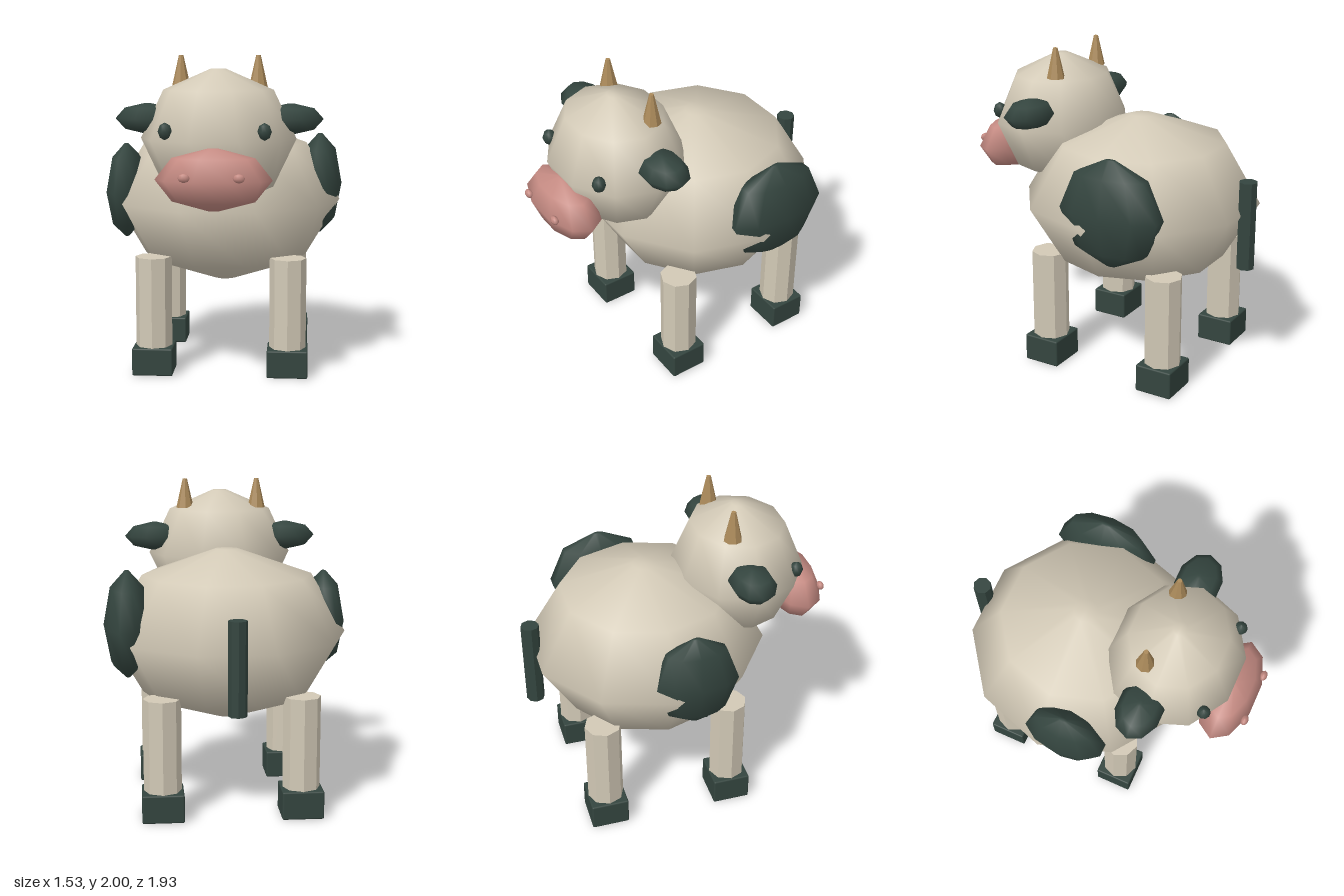
import * as THREE from 'three';
import { RoundedBoxGeometry } from 'three/addons/geometries/RoundedBoxGeometry.js';

export function createModel() {
  const model = new THREE.Group();
  const cream = new THREE.MeshStandardMaterial({ color: 0xd2c9b6 });
  const darkGreen = new THREE.MeshStandardMaterial({ color: 0x34453f });
  const pink = new THREE.MeshStandardMaterial({ color: 0xc48a82 });
  const horn = new THREE.MeshStandardMaterial({ color: 0xab8a5a });
  cream.name = 'cream';
  darkGreen.name = 'darkGreen';
  pink.name = 'pink';
  horn.name = 'horn';

  const add = (name, geometry, material, x, y, z) => {
    const mesh = new THREE.Mesh(geometry, material);
    mesh.name = name;
    mesh.position.set(x, y, z);
    model.add(mesh);
    return mesh;
  };

  // Ten-sided smooth ball with a small flat cap at each pole
  const profile = [[0, -1], [0.1, -1], [0.707, -0.7], [1, 0], [0.707, 0.7], [0.1, 1], [0, 1]]
    .map(([r, y]) => new THREE.Vector2(r, y));
  const blob = (name, material, [x, y, z], [rx, ry, rz]) => {
    const g = new THREE.LatheGeometry(profile, 10, Math.PI / 2);
    g.scale(rx, ry, rz);
    return add(name, g, material, x, y, z);
  };
  // Faceted post
  const post = (name, material, top, bottom, y0, y1, x, z) => {
    const g = new THREE.CylinderGeometry(top, bottom, y1 - y0, 8).toNonIndexed();
    g.computeVertexNormals();
    return add(name, g, material, x, (y0 + y1) / 2, z);
  };

  // Body, head and muzzle
  blob('body', cream, [0, 1.065, -0.175], [0.75, 0.53, 0.75]);
  blob('head', cream, [0, 1.505, 0.42], [0.47, 0.415, 0.41]);
  blob('muzzle', pink, [0, 1.295, 0.795], [0.34, 0.18, 0.168]);

  // Coat patches
  blob('leftPatch', darkGreen, [0.622, 1.155, -0.32], [0.145, 0.328, 0.345]);
  blob('rightPatch', darkGreen, [-0.633, 1.13, -0.035], [0.132, 0.302, 0.268]);

  // Mirrored face parts and legs
  for (const s of [1, -1]) {
    const side = s > 0 ? 'left' : 'right';
    blob(side + 'Ear', darkGreen, [s * 0.435, 1.62, 0.37], [0.197, 0.092, 0.14]);
    blob(side + 'Eye', darkGreen, [s * 0.288, 1.565, 0.71], [0.042, 0.05, 0.042]);
    blob(side + 'Nostril', pink, [s * 0.155, 1.32, 0.943], [0.035, 0.026, 0.023]);
    post(side + 'Horn', horn, 0.014, 0.057, 1.81, 2, s * 0.235, 0.31);
    for (const [end, z] of [['Front', 0.25], ['Back', -0.57]]) {
      post(side + end + 'Leg', cream, 0.115, 0.115, 0.1, 0.745, s * 0.423, z);
      add(side + end + 'Hoof', new RoundedBoxGeometry(0.255, 0.175, 0.24, 2, 0.01),
        darkGreen, s * 0.423, 0.0875, z);
    }
  }

  post('tail', darkGreen, 0.057, 0.057, 0.72, 1.275, 0, -0.908);

  // Centre the whole on its bounds
  for (const part of model.children) part.position.x -= 0.004;
  return model;
}
